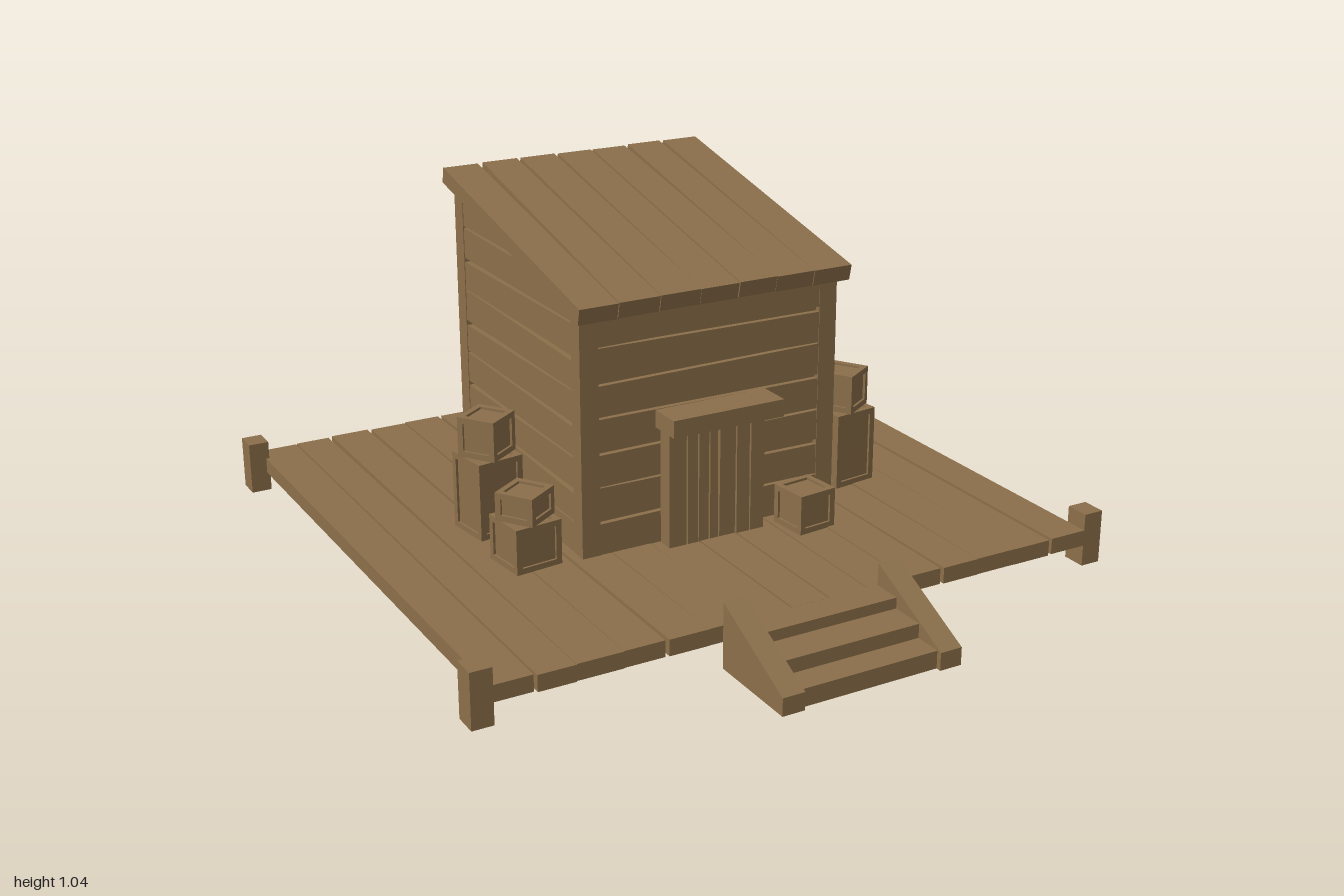
import * as THREE from 'three';

const wood = new THREE.MeshStandardMaterial({ color: 0x8b6f4a });
wood.name = 'brown wood';

let seed = 7;
const rand = () => (seed = (seed * 16807) % 2147483647) / 2147483647;

function add(parent, name, geo, x = 0, y = 0, z = 0) {
  const m = new THREE.Mesh(geo, wood);
  m.name = name;
  m.position.set(x, y, z);
  parent.add(m);
  return m;
}

const box = (parent, name, w, h, d, x, y, z) => add(parent, name, new THREE.BoxGeometry(w, h, d), x, y, z);

// Extrudes a (z, y) profile along x, from x0 to x1
function sideProfile(parent, name, pts, x0, x1) {
  const shape = new THREE.Shape(pts.map(p => new THREE.Vector2(p[0], p[1])));
  const geo = new THREE.ExtrudeGeometry(shape, { depth: x1 - x0, bevelEnabled: false });
  geo.rotateY(-Math.PI / 2);
  return add(parent, name, geo, x1, 0, 0);
}

// Row of rough planks along z, split at the seams xs; each seam has a gap at the back and at the front end
function planks(parent, name, xs, back, front, thick, length, wobble = 0) {
  const row = new THREE.Group();
  row.name = name + 's';
  for (let i = 0; i < xs.length - 1; i++) {
    const geo = new THREE.BoxGeometry(1, thick, length);
    const p = geo.attributes.position;
    const lift = [(rand() - 0.5) * wobble, (rand() - 0.5) * wobble];
    for (let v = 0; v < p.count; v++) {
      const atFront = p.getZ(v) > 0;
      const gaps = atFront ? front : back;
      const right = p.getX(v) > 0;
      const s = right ? i + 1 : i;
      const gap = s === 0 || s === xs.length - 1 ? 0 : gaps[(s - 1) % gaps.length] / 2;
      p.setX(v, xs[s] + (right ? -gap : gap));
      p.setY(v, p.getY(v) + lift[atFront ? 1 : 0]);
    }
    geo.computeVertexNormals();
    add(row, name, geo);
  }
  parent.add(row);
  return row;
}

const steps = (a, b, n) => Array.from({ length: n + 1 }, (_, i) => a + (b - a) * i / n);

// Crate: recessed panels inside a frame of twelve bars
function crate(parent, x, y, z, w, h, degrees) {
  const g = new THREE.Group();
  g.name = 'crate';
  const b = 0.017, e = (w - b) / 2, f = (h - b) / 2;
  box(g, 'cratePanels', w - 0.014, h - 0.014, w - 0.014, 0, 0, 0);
  for (const s of [-1, 1]) for (const t of [-1, 1]) {
    box(g, 'crateUpright', b, h, b, s * e, 0, t * e);
    box(g, 'crateRailX', w - 2 * b, b, b, 0, s * f, t * e);
    box(g, 'crateRailZ', b, b, w - 2 * b, t * e, s * f, 0);
  }
  g.position.set(x, y + h / 2, z);
  g.rotation.y = THREE.MathUtils.degToRad(degrees);
  parent.add(g);
}

export function createModel() {
  const model = new THREE.Group();
  model.name = 'woodenHut';

  // Deck of fifteen planks with corner posts
  const deck = planks(model, 'deckPlank',
    [-0.91, -0.79, -0.68, -0.55, -0.43, -0.31, -0.19, -0.065, 0.05, 0.17, 0.29, 0.41, 0.53, 0.655, 0.78, 0.9],
    [0.004, 0.012, 0.014, 0.003, 0.012, 0.012, 0.006, 0.006, 0.012, 0.012, 0.008, 0.012, 0.012, 0.008],
    [0.01, 0, 0, 0.012, 0, 0, 0.003, 0.01, 0, 0, 0.012, 0, 0, 0.01], 0.046, 1.72, 0.006);
  deck.position.set(0, 0.097, -0.14);
  for (const x of [-0.93, 0.93]) for (const z of [-0.965, 0.685])
    box(model, 'deckPost', 0.06, 0.155, 0.07, x, 0.0925, z);

  // Stairs between two sloped stringers
  for (const x of [-0.27, 0.2])
    sideProfile(model, 'stairStringer', [[0.72, 0], [1, 0], [1, 0.05], [0.72, 0.185]], x, x + 0.065);
  box(model, 'stairTread', 0.41, 0.05, 0.09, 0, 0.025, 0.94);
  box(model, 'stairTread', 0.41, 0.045, 0.11, 0, 0.0675, 0.85);
  box(model, 'stairTread', 0.41, 0.035, 0.085, 0, 0.1035, 0.7625);

  // Hut core, seen only at the bottom of the grooves
  const top = z => 0.855 - 0.22 * z;
  const zAt = y => (0.855 - y) / 0.22;
  sideProfile(model, 'wallCore', [[0.182, 0.11], [0.182, top(0.182)], [-0.572, top(-0.572)], [-0.572, 0.11]], -0.382, 0.382);

  // Corner posts with tops cut to the roof slope
  for (const [z0, z1] of [[0.15, 0.2], [-0.59, -0.535]]) for (const x of [-0.4, 0.345])
    sideProfile(model, 'cornerPost', [[z0, 0.115], [z1, 0.115], [z1, top(z1)], [z0, top(z0)]], x, x + 0.055);

  // Horizontal boards of the front and back walls
  const upright = new THREE.Matrix4().makeBasis(
    new THREE.Vector3(0, 1, 0), new THREE.Vector3(0, 0, 1), new THREE.Vector3(1, 0, 0));
  const gapA = [0.016, 0.003, 0.013, 0.006], gapB = [0.004, 0.015, 0.006, 0.012];
  const frontWall = planks(model, 'frontWallBoard', steps(0.12, 0.81, 7), gapA, gapB, 0.03, 0.69);
  const backWall = planks(model, 'backWallBoard', steps(0.12, 0.975, 9), gapB, gapA, 0.03, 0.69);
  frontWall.quaternion.setFromRotationMatrix(upright);
  backWall.quaternion.setFromRotationMatrix(upright);
  frontWall.position.z = 0.183;
  backWall.position.z = -0.573;

  // Horizontal boards of the side walls, clipped by the roof slope
  const zb = -0.535, zf = 0.15, rows = steps(0.12, 0.97, 9);
  for (const x of [-0.398, 0.368]) for (let i = 0; i < 9; i++) {
    const y0 = rows[i], y1 = rows[i + 1];
    const gb = gapA[i % 4], gf = gapB[i % 4];
    const pts = [[zb, y0], [Math.min(zf, zAt(y0)), y0]];
    if (zAt(y1) >= zf) pts.push([zf, y1 - gf]);
    else {
      if (zAt(y0) > zf) pts.push([zf, top(zf)]);
      pts.push([Math.max(zb + 0.01, zAt(y1 - gf)), y1 - gf]);
    }
    pts.push([zb, y1 - gb]);
    sideProfile(model, 'sideWallBoard', pts, x, x + 0.03);
  }

  // Sloped plank roof
  const roof = planks(model, 'roofPlank', [-0.425, -0.31, -0.187, -0.065, 0.053, 0.17, 0.29, 0.41],
    [0.016, 0.012, 0.012, 0.008, 0.012, 0.014], [0.002, 0.002, 0.001, 0.003, 0.001, 0.002], 0.046, 0.88, 0.006);
  roof.rotation.x = Math.atan(0.22);
  roof.position.set(0, 0.918, -0.18);

  // Door of upright planks under a lintel
  const door = planks(model, 'doorPlank', [-0.16, -0.105, -0.07, -0.035, -0.005, 0.05, 0.095, 0.14],
    [0.004, 0.006, 0.003, 0.008, 0.004, 0.006], [0.006, 0.003, 0.006, 0.004, 0.006, 0.003], 0.05, 0.345);
  door.rotation.x = Math.PI / 2;
  door.position.set(0, 0.2905, 0.225);
  box(model, 'doorLintel', 0.345, 0.05, 0.1, -0.0025, 0.485, 0.25);

  // Crates: x, base y, z, width, height, turn
  const crates = [
    [0.25, 0.12, 0.29, 0.12, 0.115, 6], [0.25, 0.12, -0.715, 0.12, 0.115, -27],
    [0.54, 0.12, -0.485, 0.12, 0.118, 8],
    [0.535, 0.12, -0.21, 0.14, 0.13, 8], [0.535, 0.25, -0.21, 0.115, 0.08, 38],
    [0.53, 0.12, 0.05, 0.14, 0.225, 7], [0.53, 0.345, 0.05, 0.115, 0.115, 32],
    [-0.53, 0.12, -0.12, 0.14, 0.225, 8], [-0.53, 0.345, -0.12, 0.115, 0.115, 35],
    [-0.535, 0.12, 0.13, 0.14, 0.13, 6], [-0.535, 0.25, 0.13, 0.115, 0.08, 34],
  ];
  for (const c of crates) crate(model, ...c);

  return model;
}
